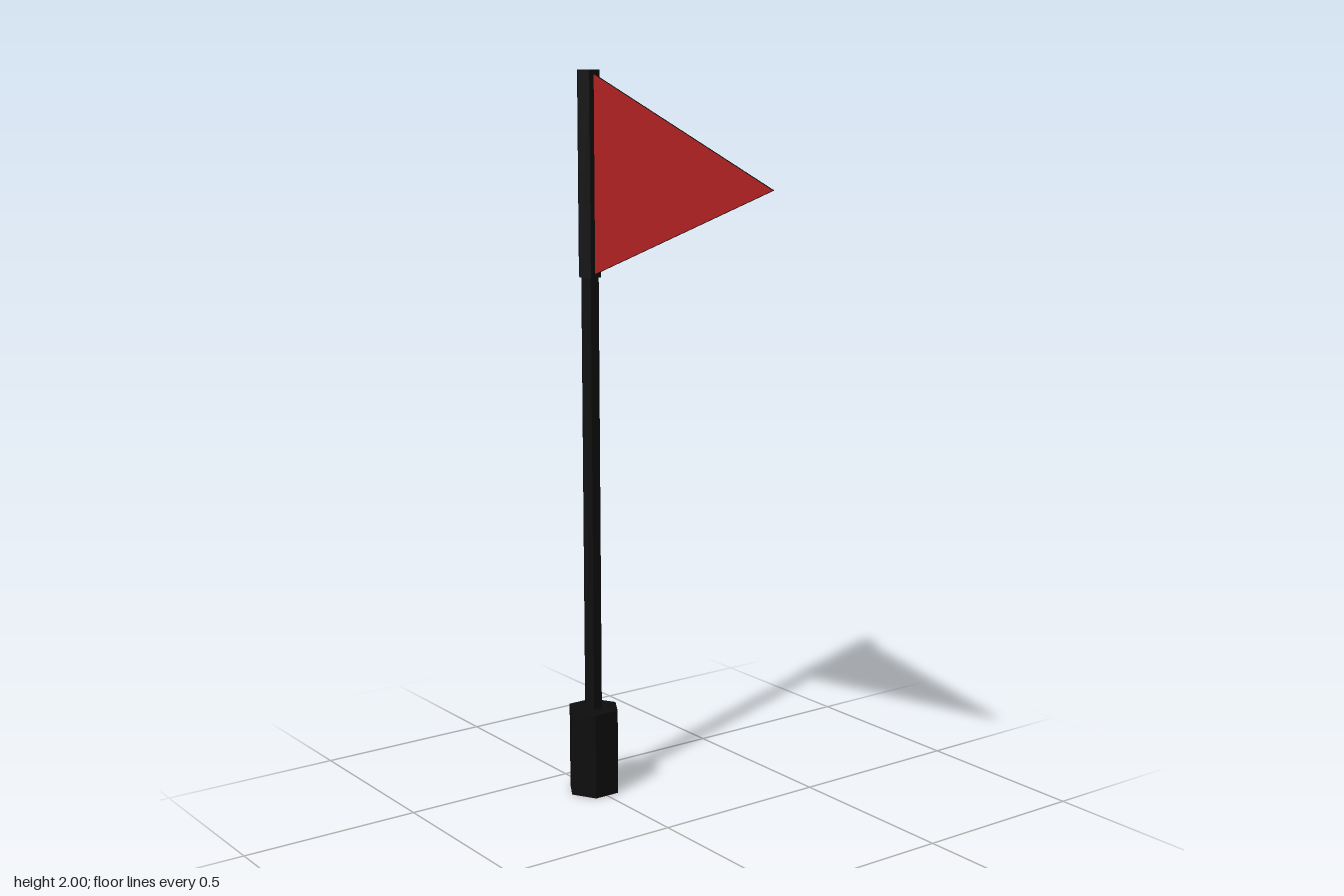
import * as THREE from 'three';

const POLE_X = -0.353;

export function createModel() {
  const model = new THREE.Group();
  model.name = 'pennantFlag';

  const black = new THREE.MeshStandardMaterial({ color: 0x0d0d0d, flatShading: true });
  black.name = 'black';
  const red = new THREE.MeshStandardMaterial({ color: 0xb22222, flatShading: true });
  red.name = 'red';

  // Upright six-sided prism on the pole axis, corners facing front and back
  function hexPrism(name, radius, bottom, top) {
    const mesh = new THREE.Mesh(new THREE.CylinderGeometry(radius, radius, top - bottom, 6), black);
    mesh.name = name;
    mesh.position.set(POLE_X, (bottom + top) / 2, 0);
    model.add(mesh);
  }
  hexPrism('handle', 0.075, 0, 0.243);
  hexPrism('pole', 0.026, 0.243, 1.455);
  hexPrism('flagSleeve', 0.033, 1.455, 2);

  // Thin triangular cloth: red faces, black rim
  const thickness = 0.005;
  const outline = new THREE.Shape([
    new THREE.Vector2(POLE_X, 1.455),
    new THREE.Vector2(0.418, 1.727),
    new THREE.Vector2(POLE_X, 1.998),
  ]);
  const cloth = new THREE.ExtrudeGeometry(outline, { depth: thickness, bevelEnabled: false });
  cloth.translate(0, 0, -thickness / 2);
  const flag = new THREE.Mesh(cloth, [red, black]);
  flag.name = 'flag';
  model.add(flag);

  return model;
}
